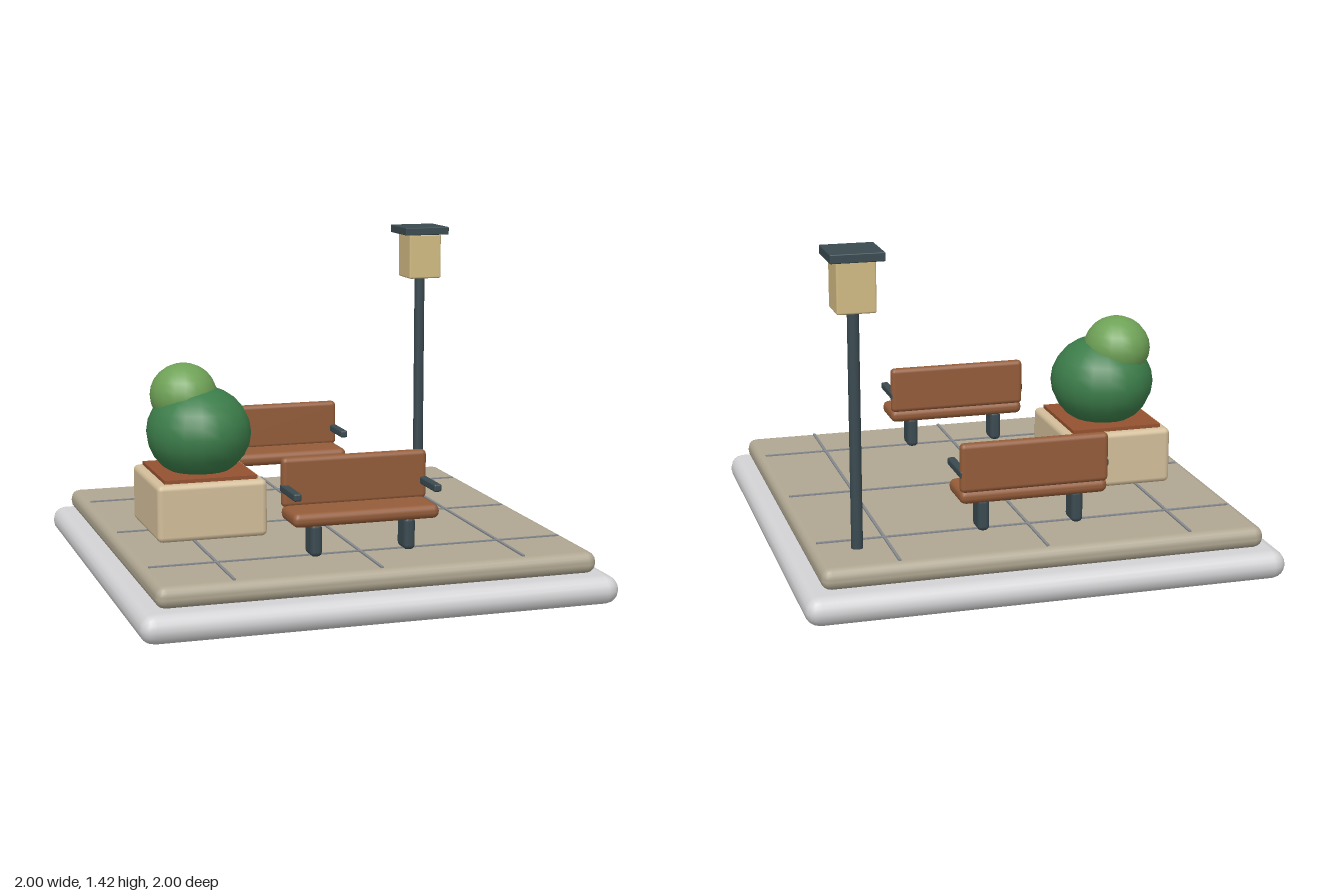
import * as THREE from 'three';
import { RoundedBoxGeometry } from 'three/addons/geometries/RoundedBoxGeometry.js';

const paint = (name, color) => {
  const m = new THREE.MeshStandardMaterial({ color });
  m.name = name;
  return m;
};

export function createModel() {
  const kerb = paint('pale kerb', 0xd3d3d5);
  const paving = paint('paving stone', 0xb0a792);
  const joint = paint('joint grey', 0x85898d);
  const wood = paint('wood', 0x945c39);
  const iron = paint('dark iron', 0x3a4a50);
  const stone = paint('planter stone', 0xd3be9a);
  const soil = paint('soil', 0x945230);
  const leaf = paint('leaf green', 0x3c7d4a);
  const lightLeaf = paint('light leaf green', 0x6fa257);
  const glass = paint('lantern glass', 0xd3bc84);

  // Box given by its centre and size; a radius rounds the edges
  const box = (parent, name, mat, [x, y, z], [w, h, d], radius = 0) => {
    const geo = radius ? new RoundedBoxGeometry(w, h, d, 2, radius) : new THREE.BoxGeometry(w, h, d);
    const mesh = new THREE.Mesh(geo, mat);
    mesh.name = name;
    mesh.position.set(x, y, z);
    parent.add(mesh);
    return mesh;
  };
  const group = (parent, name) => {
    const g = new THREE.Group();
    g.name = name;
    parent.add(g);
    return g;
  };

  const model = new THREE.Group();
  model.name = 'plaza';

  // Ground slabs
  box(model, 'baseSlab', kerb, [0, 0.06, 0], [2, 0.12, 2], 0.06);
  box(model, 'pavedSlab', paving, [0, 0.165, 0], [1.845, 0.09, 1.845], 0.04);

  // Paving joints
  const joints = group(model, 'pavingJoints');
  for (const p of [-0.607, 0, 0.607]) {
    box(joints, 'jointAlongZ', joint, [p, 0.212, 0], [0.012, 0.008, 1.77]);
    box(joints, 'jointAlongX', joint, [0, 0.2115, p], [1.77, 0.008, 0.012]);
  }

  // Two benches facing the front
  for (const [name, z] of [['frontBench', 0.61], ['backBench', -0.607]]) {
    const bench = group(model, name);
    bench.position.z = z;
    box(bench, 'seat', wood, [0, 0.378, 0], [0.625, 0.06, 0.2], 0.027);
    box(bench, 'backrest', wood, [0, 0.502, -0.084], [0.625, 0.206, 0.045], 0.02);
    for (const side of [-1, 1]) {
      box(bench, 'leg', iron, [side * 0.2, 0.282, 0], [0.05, 0.14, 0.1], 0.02);
      box(bench, 'armrest', iron, [side * 0.298, 0.477, 0.003], [0.033, 0.032, 0.205], 0.008);
    }
  }

  // Planter and bush
  const planter = group(model, 'planter');
  planter.position.x = -0.525;
  box(planter, 'planterBox', stone, [0, 0.332, 0], [0.475, 0.245, 0.495], 0.024);
  box(planter, 'soil', soil, [0, 0.455, 0], [0.4, 0.03, 0.43]);
  const ball = (name, mat, pos, radii) => {
    const mesh = new THREE.Mesh(new THREE.SphereGeometry(1, 18, 12), mat);
    mesh.name = name;
    mesh.position.set(...pos);
    mesh.scale.set(...radii);
    planter.add(mesh);
  };
  ball('lowerFoliage', leaf, [0, 0.63, 0], [0.225, 0.2, 0.235]);
  ball('upperFoliage', lightLeaf, [-0.055, 0.785, -0.038], [0.145, 0.138, 0.153]);

  // Lamp post
  const lamp = group(model, 'lampPost');
  lamp.position.set(0.737, 0, -0.695);
  const pole = new THREE.Mesh(new THREE.CylinderGeometry(0.024, 0.024, 0.98, 12), iron);
  pole.name = 'pole';
  pole.position.y = 0.7;
  lamp.add(pole);
  box(lamp, 'lantern', glass, [0, 1.284, 0], [0.157, 0.208, 0.157], 0.008);
  box(lamp, 'lanternCap', iron, [0, 1.405, -0.005], [0.215, 0.036, 0.215], 0.004);

  return model;
}
